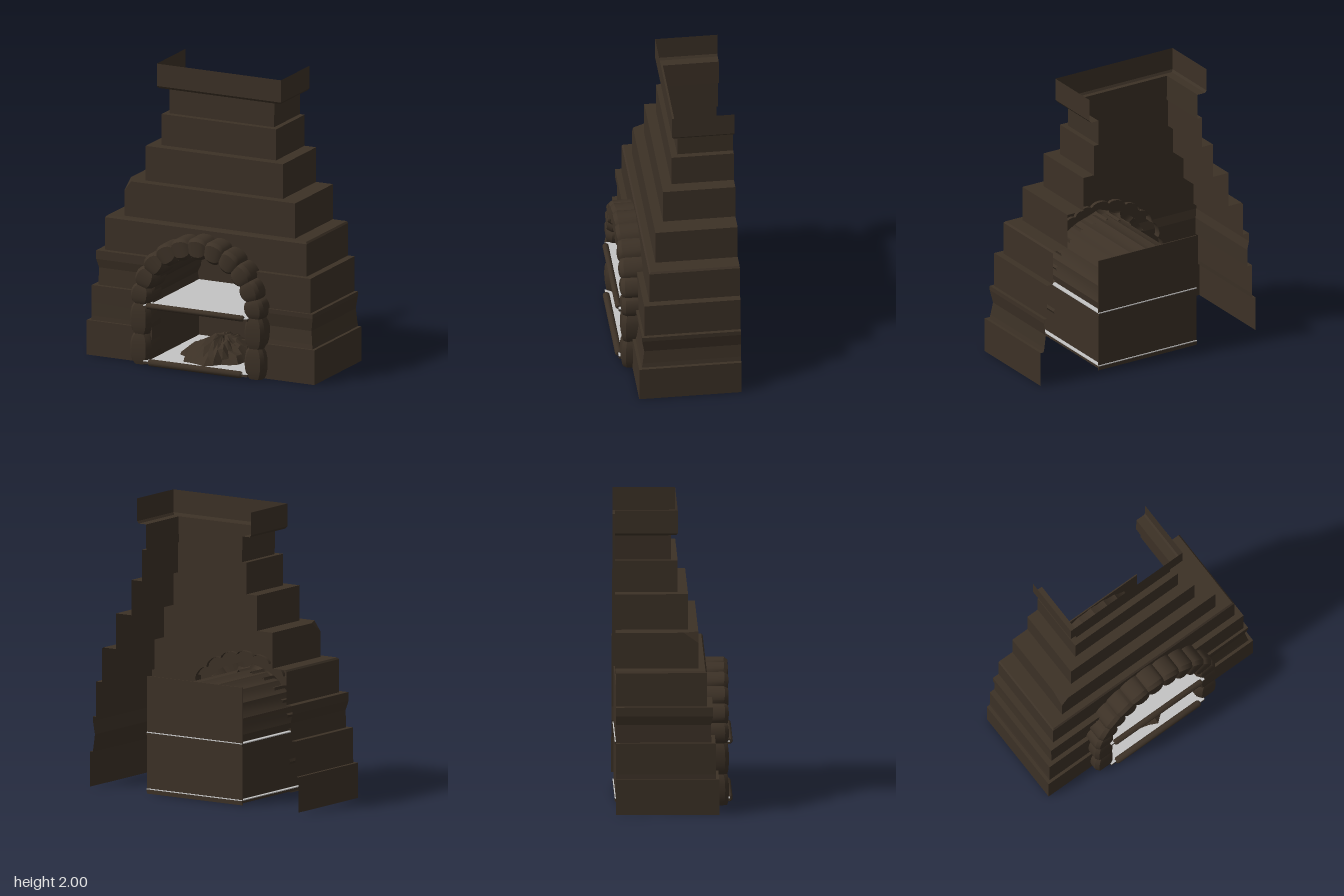
import * as THREE from 'three';
import { toCreasedNormals } from 'three/addons/utils/BufferGeometryUtils.js';

const brown = new THREE.MeshStandardMaterial({ color: 0x3c3126, side: THREE.DoubleSide });
brown.name = 'dark brown stone';
const grey = new THREE.MeshStandardMaterial({ color: 0xc4c4c4, side: THREE.DoubleSide });
grey.name = 'light grey plate';

const BACK = -0.395;
const SPRING = 0.42; // height where the arch begins
const OPENING = 0.42; // radius of the hole behind the arch stones

// Joins cross-sections (arrays of [x, y, z]) with quads
function loft(sections, crease = 0.5, closed = false) {
  const n = sections[0].length;
  const pos = sections.flat(2);
  const index = [];
  for (let i = 0; i < sections.length - 1; i++) {
    for (let j = 0; j < (closed ? n : n - 1); j++) {
      const a = i * n + j, b = i * n + (j + 1) % n;
      index.push(a, b, a + n, b, b + n, a + n);
    }
  }
  const g = new THREE.BufferGeometry();
  g.setAttribute('position', new THREE.Float32BufferAttribute(pos, 3));
  g.setIndex(index);
  return toCreasedNormals(g, crease);
}

function add(group, name, geometry, material = brown, x = 0, y = 0, z = 0) {
  const m = new THREE.Mesh(geometry, material);
  m.name = name;
  m.position.set(x, y, z);
  group.add(m);
  return m;
}

// Half width of the fire opening at a given height
function openingAt(y) {
  if (y <= SPRING) return OPENING;
  return Math.sqrt(Math.max(0, OPENING ** 2 - (y - SPRING) ** 2));
}

// Stepped chimney breast: [y, half width, front z, left dent, right dent, chip]
const rows = [
  [0, 0.855, 0.295], [0.24, 0.855, 0.295],
  [0.24, 0.832, 0.275], [0.27, 0.83, 0.273, 0, 0.004], [0.36, 0.83, 0.272, 0, 0.016],
  [0.45, 0.83, 0.272], [0.48, 0.83, 0.272],
  [0.48, 0.805, 0.255, 0.012], [0.6, 0.805, 0.255, 0.014], [0.66, 0.805, 0.255, 0], [0.72, 0.805, 0.255],
  [0.72, 0.757, 0.215], [0.945, 0.757, 0.215], [0.957, 0.747, 0.205],
  [0.957, 0.642, 0.16], [1.13, 0.642, 0.16], [1.2, 0.642, 0.16, 0, 0, 0.05],
  [1.2, 0.516, 0.093], [1.44, 0.516, 0.093],
  [1.44, 0.43, 0.025], [1.655, 0.43, 0.025],
  [1.655, 0.393, -0.018], [1.83, 0.395, -0.018],
  [1.83, 0.455, 0.015], [1.845, 0.467, 0.025], [2, 0.467, 0.025],
];

function breastHalf(side) {
  const sections = [];
  const put = ([y, w, z, dl = 0, dr = 0, chip = 0]) => {
    const d = side < 0 ? dl : dr, c = side < 0 ? chip : 0;
    const h = openingAt(y);
    sections.push([
      [side * (w - d), y, BACK], [side * (w - d), y, z - d - 2 * c],
      [side * (w - d - c), y, z - d], [side * h, y, z - d],
    ]);
  };
  rows.forEach((row, i) => {
    put(row);
    const next = rows[i + 1];
    if (!next || row[0] > 0.9 || next[0] - row[0] < 0.01) return;
    // extra rows so that the opening follows the arch
    const steps = Math.ceil((next[0] - row[0]) / 0.03);
    for (let s = 1; s < steps; s++) {
      put([0, 1, 2, 3, 4].map(k => THREE.MathUtils.lerp(row[k] ?? 0, next[k] ?? 0, s / steps)));
    }
  });
  return loft(sections, 0.05);
}

// Point and outward direction along the arch; t runs over 15 stones
function archPath(t) {
  const R = 0.427;
  if (t <= 2) return [-R, t * SPRING / 2, -1, 0];
  if (t >= 13) return [R, (15 - t) * SPRING / 2, 1, 0];
  const a = Math.PI * (1 - (t - 2) / 11);
  return [R * Math.cos(a), SPRING + R * Math.sin(a), Math.cos(a), Math.sin(a)];
}

// One bulging stone of the surround
function archStone(i) {
  const spans = [[0, 0.022], [0.12, 0.008], [0.3, 0], [0.5, -0.002], [0.7, 0], [0.88, 0.008], [1, 0.022]];
  const sections = spans.map(([s, inset]) => {
    const [px, py, nx, ny] = archPath(i + s);
    const half = 0.075 - inset, f = 0.366 - inset * 0.5;
    return [[-half, 0.19], [-half, f - 0.035], [-half + 0.025, f], [half - 0.02, f], [half, f - 0.025], [half, 0.19]]
      .map(([r, z]) => [px + nx * r, py + ny * r, z]);
  });
  return loft(sections, 0.55);
}

// Rough tunnel behind the arch
function vault() {
  const sections = [];
  for (const z of [-0.385, 0.3]) {
    const line = [[-0.36, SPRING, z]];
    for (let k = 0; k <= 22; k++) {
      const a = Math.PI * (1 - k / 22);
      const r = 0.362 + (k % 2 ? 0.008 : -0.006);
      line.push([r * Math.cos(a), SPRING + r * Math.sin(a), z]);
    }
    sections.push(line);
  }
  return loft(sections, 0.6);
}

// Lumpy heap lying in the lower hearth
function heap() {
  const profile = [[1, 0], [0.98, 0.035], [0.82, 0.075], [0.6, 0.115], [0.38, 0.15], [0.17, 0.17], [0, 0.175]];
  const n = 30;
  return loft(profile.map(([r, y], i) => {
    const ring = [];
    for (let j = 0; j < n; j++) {
      const a = -j / n * Math.PI * 2;
      const lump = 1 + 0.07 * Math.sin(a * 9 + i * 1.3) + 0.04 * Math.sin(a * 4 + i);
      const up = i < 2 || r === 0 ? 0 : 0.016 * Math.sin(a * 7 + i * 2.1);
      ring.push([0.27 * r * lump * Math.cos(a) + 0.03 * y / 0.175, y + up, 0.31 * r * lump * Math.sin(a)]);
    }
    return ring;
  }), 0.3, true);
}

export function createModel() {
  const model = new THREE.Group();
  model.name = 'fireplace';

  for (const side of [-1, 1]) {
    add(model, side < 0 ? 'rightBreast' : 'leftBreast', breastHalf(side));
  }

  const arch = new THREE.Group();
  arch.name = 'archSurround';
  model.add(arch);
  for (let i = 0; i < 15; i++) add(arch, 'archStone', archStone(i));

  // Firebox: back wall, lower side walls and vault
  add(model, 'backWall', new THREE.BoxGeometry(0.78, 0.8, 0.008), brown, 0, 0.4, -0.384);
  for (const side of [-1, 1]) {
    add(model, 'lowerSideWall', new THREE.BoxGeometry(0.008, 0.4, 0.7), brown, side * 0.36, 0.215, -0.035);
  }
  add(model, 'vault', vault());

  // Hearth floor and shelf, each a slab with a pale top plate
  for (const [name, y] of [['floor', 0.03], ['shelf', 0.415]]) {
    add(model, name + 'Slab', new THREE.BoxGeometry(0.78, 0.016, 0.77), brown, 0, y - 0.008, -0.01);
    add(model, name + 'Plate', new THREE.BoxGeometry(0.78, 0.006, 0.77), grey, 0, y + 0.003, -0.01);
  }

  // Rounded front rails
  for (const [name, y, r, length] of [['floorRail', 0.026, 0.024, 0.7], ['shelfRail', 0.418, 0.021, 0.73]]) {
    const h = length / 2;
    const profile = [[0, -h], [r * 0.7, -h], [r, -h + 0.012], [r, h - 0.012], [r * 0.7, h], [0, h]];
    const rail = new THREE.LatheGeometry(profile.map(p => new THREE.Vector2(...p)), 12);
    rail.rotateZ(Math.PI / 2);
    add(model, name, toCreasedNormals(rail, 0.6), brown, 0, y, 0.395 - r);
  }

  add(model, 'ashHeap', heap());
  return model;
}
